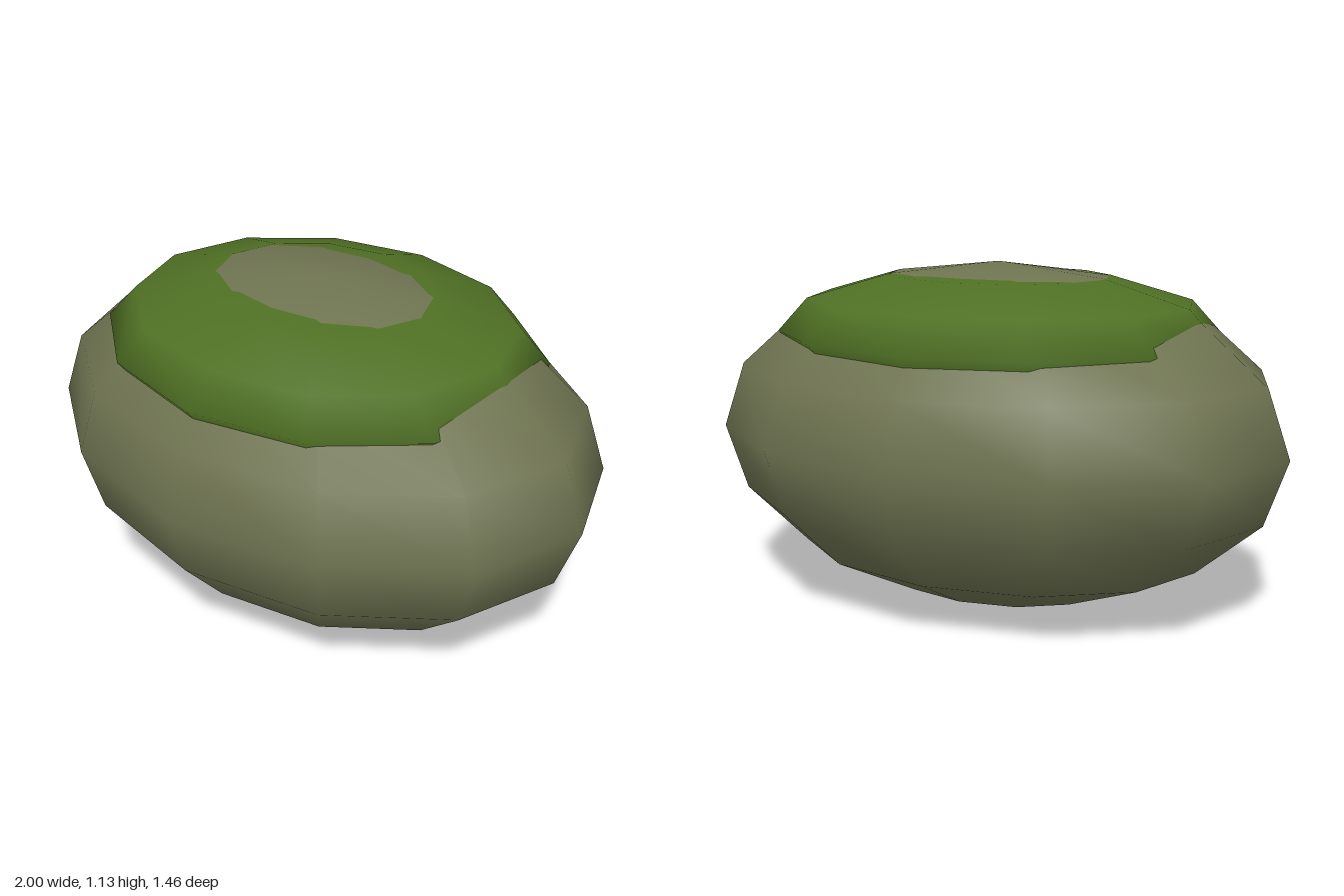
import * as THREE from 'three';

// Smooth low-poly ellipsoid with the given centre height and radii
function ellipsoid(name, material, y, rx, ry, rz, rings) {
  const geometry = new THREE.SphereGeometry(1, 12, rings);
  geometry.scale(rx, ry, rz);
  const mesh = new THREE.Mesh(geometry, material);
  mesh.name = name;
  mesh.position.y = y;
  return mesh;
}

export function createModel() {
  const stone = new THREE.MeshStandardMaterial({ color: 0x6f7451 });
  stone.name = 'stone';
  const moss = new THREE.MeshStandardMaterial({ color: 0x4f7024 });
  moss.name = 'moss';

  const group = new THREE.Group();
  group.name = 'mossyBoulder';
  // Boulder body
  group.add(ellipsoid('boulder', stone, 0.567, 1, 0.567, 0.73, 8));
  // Flat moss cushion, with the boulder's crown poking through
  group.add(ellipsoid('mossCap', moss, 0.9, 0.77, 0.219, 0.63, 6));
  return group;
}
